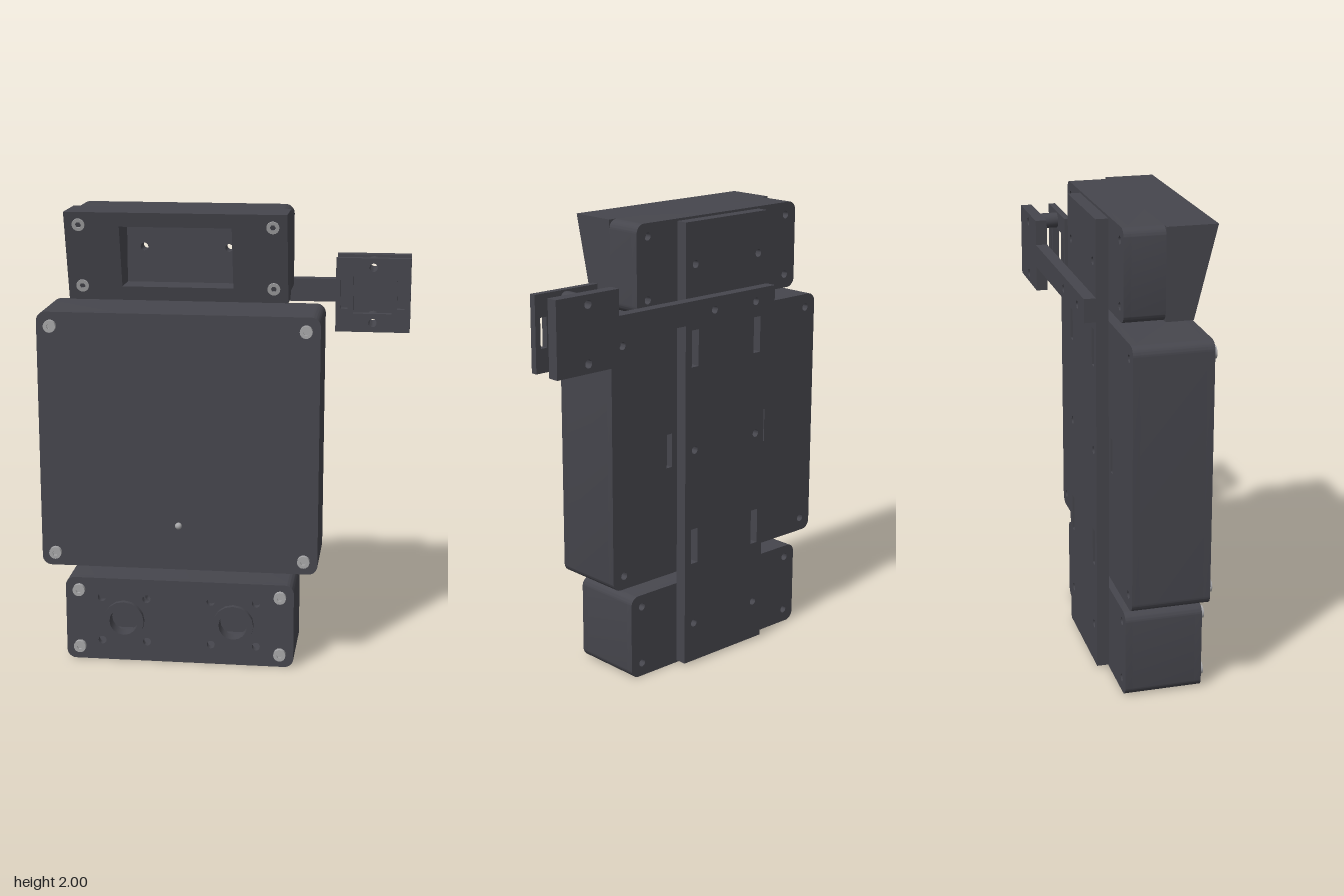
import * as THREE from 'three';
import { toCreasedNormals } from 'three/addons/utils/BufferGeometryUtils.js';

const casing = new THREE.MeshStandardMaterial({ color: 0x46464d });
casing.name = 'charcoal plastic';
const steel = new THREE.MeshStandardMaterial({ color: 0xa6a6a8 });
steel.name = 'light grey metal';

// Rectangle outline with rounded corners
function outline(target, [x0, x1, y0, y1], r = 0) {
  if (r === 0) {
    target.moveTo(x0, y0).lineTo(x1, y0).lineTo(x1, y1).lineTo(x0, y1).closePath();
    return target;
  }
  target.moveTo(x0 + r, y0);
  target.absarc(x1 - r, y0 + r, r, -Math.PI / 2, 0);
  target.absarc(x1 - r, y1 - r, r, 0, Math.PI / 2);
  target.absarc(x0 + r, y1 - r, r, Math.PI / 2, Math.PI);
  target.absarc(x0 + r, y0 + r, r, Math.PI, Math.PI * 1.5);
  return target;
}

const slot = (x0, x1, y0, y1, r = 0) => outline(new THREE.Path(), [x0, x1, y0, y1], r);
const hole = (x, y, r) => new THREE.Path().absarc(x, y, r, 0, Math.PI * 2);
const holes = (points, r) => points.map(([x, y]) => hole(x, y, r));
const grid = (xs, ys) => xs.flatMap((x) => ys.map((y) => [x, y]));

function mesh(name, geometry, material = casing) {
  const m = new THREE.Mesh(geometry, material);
  m.name = name;
  return m;
}

function extrude(shape, z0, z1, cuts = []) {
  shape.holes.push(...cuts);
  const g = new THREE.ExtrudeGeometry(shape, { depth: z1 - z0, bevelEnabled: false, curveSegments: 8 });
  return g.translate(0, 0, z0);
}

// Flat plate facing z, pierced by the given cuts
function plate(name, rect, z0, z1, r = 0, cuts = []) {
  return mesh(name, toCreasedNormals(extrude(outline(new THREE.Shape(), rect, r), z0, z1, cuts), 0.6));
}

// Hollow tube along z
function tube(name, x, y, outer, inner, z0, z1) {
  const shape = new THREE.Shape().absarc(x, y, outer, 0, Math.PI * 2);
  return mesh(name, toCreasedNormals(extrude(shape, z0, z1, [hole(x, y, inner)]), 0.8));
}

// Screw head with a hexagonal socket
function screw(x, y, z, tilt = 0) {
  const shape = new THREE.Shape().absarc(0, 0, 0.027, 0, Math.PI * 2);
  const socket = new THREE.Path();
  for (let i = 0; i < 6; i++) {
    const a = (i * Math.PI) / 3;
    socket[i ? 'lineTo' : 'moveTo'](Math.cos(a) * 0.013, Math.sin(a) * 0.013);
  }
  socket.closePath();
  const g = new THREE.Group();
  g.name = 'screw';
  g.add(mesh('screwHead', toCreasedNormals(extrude(shape, -0.02, 0, [socket]), 0.8), steel));
  const floor = mesh('screwSocketFloor', new THREE.CircleGeometry(0.016, 6), steel);
  floor.position.z = -0.01;
  g.add(floor);
  g.position.set(x, y, z);
  g.rotation.x = tilt;
  return g;
}

const BACK = -0.14;
const mounts = [-0.37, 0];

// Hollow enclosure: drilled back panel plus a ring of walls
function shell(name, rect, front, r, backCuts) {
  const [x0, x1, y0, y1] = rect;
  const t = 0.035;
  const g = new THREE.Group();
  g.name = name;
  g.add(
    plate(name + 'Back', rect, BACK, BACK + 0.03, r, backCuts),
    plate(name + 'Walls', rect, BACK + 0.03, front, r, [slot(x0 + t, x1 - t, y0 + t, y1 - t)])
  );
  return g;
}

export function createModel() {
  const model = new THREE.Group();
  model.name = 'sensorStation';

  // Main enclosure
  const mainRect = [-0.79, 0.42, 0.44, 1.57];
  const mainScrews = grid([-0.73, 0.36], [0.5, 1.51]);
  const mainBox = shell('mainBox', mainRect, 0.16, 0.04, [
    ...holes(mainScrews, 0.017),
    ...holes(grid(mounts, [1.0]), 0.017),
    slot(-0.48, -0.45, 0.93, 1.08),
    slot(0.085, 0.115, 0.93, 1.08),
  ]);
  mainBox.add(plate('mainLid', mainRect, 0.16, 0.19, 0.04));
  mainScrews.forEach(([x, y]) => mainBox.add(screw(x, y, 0.21)));
  const lamp = mesh('indicatorLamp', new THREE.SphereGeometry(0.015, 16, 10), steel);
  lamp.position.set(-0.185, 0.64, 0.193);
  mainBox.add(lamp);
  model.add(mainBox);

  // Lower enclosure with two round sensor eyes
  const lowRect = [-0.69, 0.32, 0.005, 0.385];
  const lowScrews = grid([-0.63, 0.26], [0.065, 0.33]);
  const lowBox = shell('lowerBox', lowRect, 0.16, 0.04, [
    ...holes(lowScrews, 0.017),
    ...holes(grid(mounts, [0.195]), 0.017),
  ]);
  const eyes = [-0.43, 0.055];
  const lidCuts = eyes.flatMap((x) => [
    hole(x, 0.195, 0.075),
    ...holes(grid([x - 0.1, x + 0.1], [0.095, 0.295]), 0.018),
  ]);
  lowBox.add(plate('lowerLid', lowRect, 0.16, 0.19, 0.04, lidCuts));
  eyes.forEach((x) => lowBox.add(tube('sensorEye', x, 0.195, 0.09, 0.063, 0.15, 0.213)));
  lowScrews.forEach(([x, y]) => lowBox.add(screw(x, y, 0.21)));
  model.add(lowBox);

  // Upper enclosure with a forward-leaning face and display window
  const topRect = [-0.65, 0.28, 1.62, 2.0];
  const slope = 0.25;
  const faceZ = (y) => 0.145 + (y - 1.62) * slope;
  const topScrews = grid([-0.59, 0.22], [1.68, 1.945]);
  const topBox = shell('upperBox', topRect, 0.03, 0.04, [
    ...holes(topScrews, 0.017),
    ...holes(grid(mounts, [1.81]), 0.017),
  ]);
  const wedge = extrude(outline(new THREE.Shape(), topRect), 0.03, 0.1, [slot(-0.42, 0.05, 1.68, 1.94)]);
  const p = wedge.attributes.position;
  for (let i = 0; i < p.count; i++) if (p.getZ(i) > 0.09) p.setZ(i, faceZ(p.getY(i)));
  wedge.computeVertexNormals();
  topBox.add(mesh('slopedFace', wedge));
  topScrews.forEach(([x, y]) => topBox.add(screw(x, y, faceZ(y) + 0.006, Math.atan(slope))));
  model.add(topBox);

  // Back rail joining the three enclosures
  const armHoles = [[-0.31, 1.615], [-0.065, 1.615]];
  model.add(plate('backRail', [-0.42, 0.055, 0.015, 1.99], -0.193, BACK, 0, [
    ...holes(grid(mounts, [0.195, 1.0, 1.81]), 0.017),
    ...holes(armHoles, 0.017),
    ...mounts.flatMap((x) => [0.48, 1.37].map((y) => slot(x - 0.02, x + 0.02, y, y + 0.16))),
  ]));

  // Side arm with a square bracket at its end
  const arm = new THREE.Group();
  arm.name = 'sideArm';
  const posts = [[0.625, 1.5], [0.625, 1.74]];
  const bracket = [0.465, 0.785, 1.46, 1.78];
  arm.add(
    plate('armBar', [-0.425, 0.465, 1.57, 1.67], -0.243, -0.193, 0, holes(armHoles, 0.017)),
    plate('bracketBack', bracket, -0.243, -0.193, 0, holes(posts, 0.018)),
    plate('bracketFront', bracket, -0.112, -0.083, 0, [
      ...holes(posts, 0.018),
      slot(0.54, 0.705, 1.54, 1.7),
      slot(0.485, 0.517, 1.56, 1.685),
      slot(0.728, 0.76, 1.56, 1.685),
    ])
  );
  posts.forEach(([x, y]) => arm.add(tube('standoff', x, y, 0.034, 0.018, -0.193, -0.112)));
  model.add(arm);

  return model;
}
